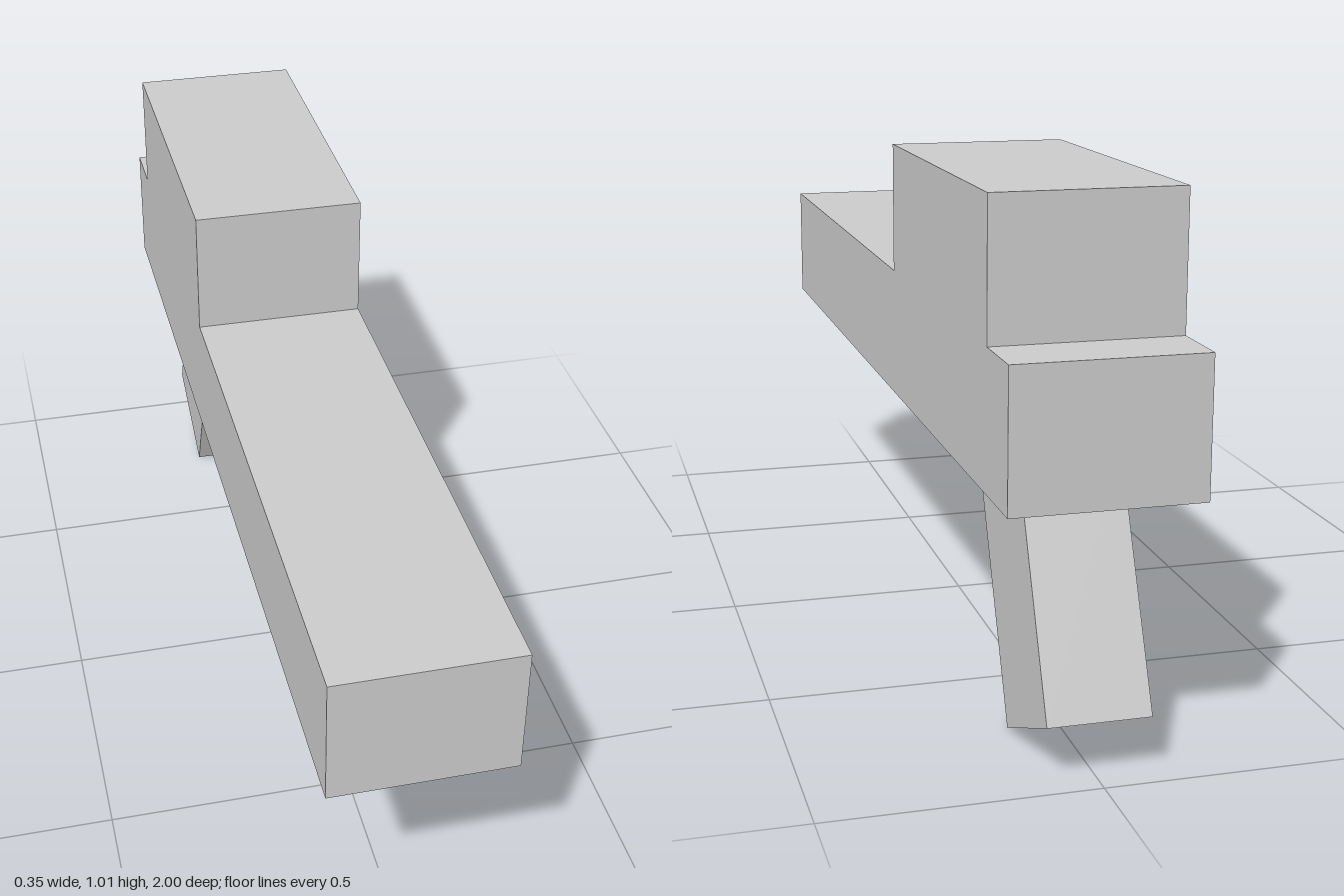
import * as THREE from 'three';

const material = new THREE.MeshStandardMaterial({ color: 0xcccccc, flatShading: true });

// Extrudes a side profile of [z, y] points across x, centred on x = 0
function sideProfile(name, points, width) {
  const shape = new THREE.Shape(points.map(([z, y]) => new THREE.Vector2(z, y)));
  const geometry = new THREE.ExtrudeGeometry(shape, { depth: width, bevelEnabled: false });
  geometry.translate(0, 0, -width / 2);
  geometry.rotateY(-Math.PI / 2);
  const mesh = new THREE.Mesh(geometry, material);
  mesh.name = name;
  return mesh;
}

export function createModel() {
  const group = new THREE.Group();
  group.name = 'model';

  // Long bar with the raised housing towards the back
  group.add(sideProfile('body', [
    [1, 0.496], [1, 0.752], [-0.153, 0.752], [-0.153, 1.008],
    [-0.87, 1.008], [-0.87, 0.752], [-1, 0.752], [-1, 0.496],
  ], 0.35));

  // Slanted handle, its top sunk slightly into the body
  group.add(sideProfile('grip', [
    [-0.485, 0.55], [-0.73, 0], [-0.972, 0.108], [-0.776, 0.55],
  ], 0.19));

  return group;
}
